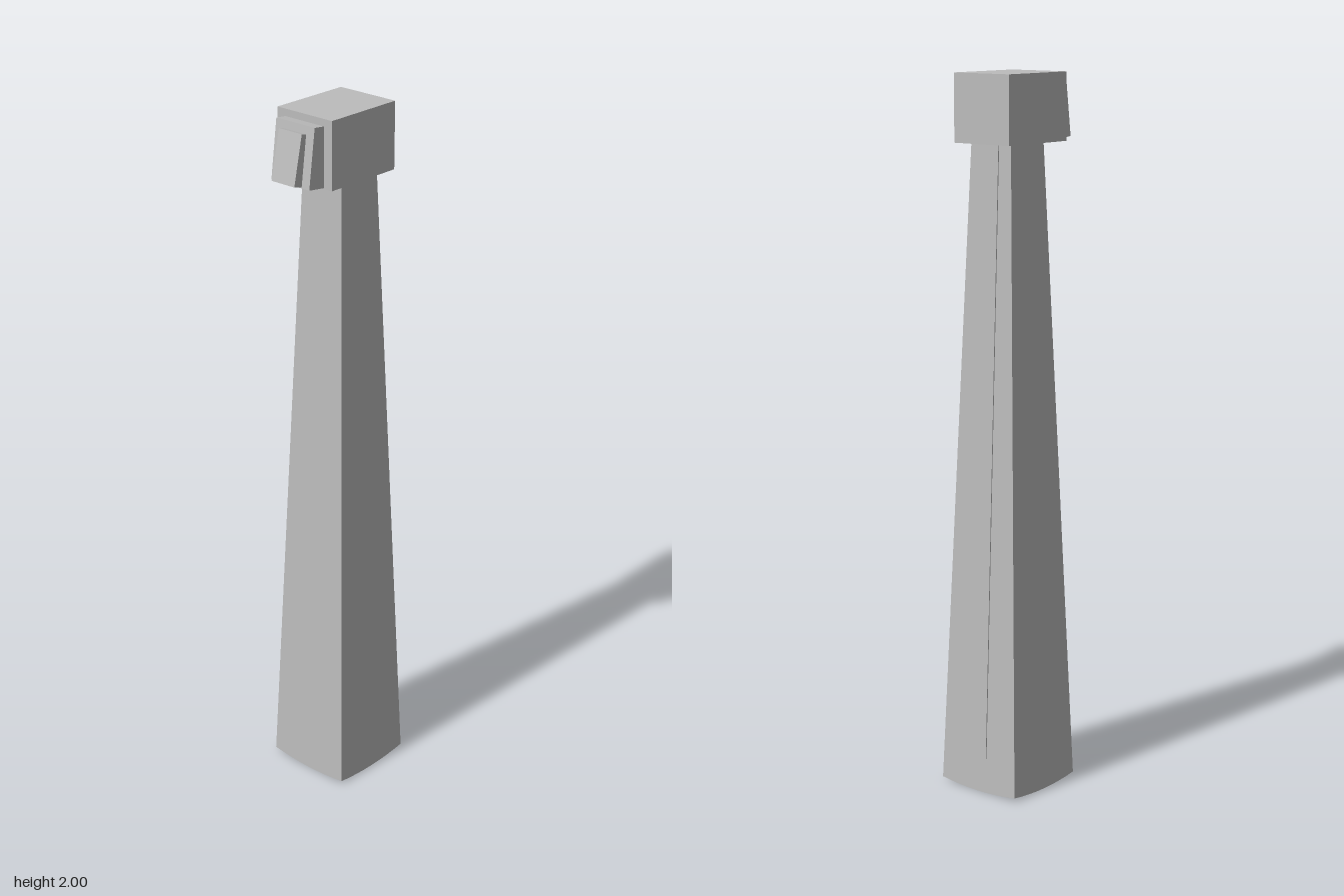
import * as THREE from 'three';

const AXIS_Z = -0.043; // the shaft stands slightly behind the centre

// half width of the tapering shaft at height y
const half = (y) => THREE.MathUtils.lerp(0.1325, 0.069, (y - 0.01) / 1.805);

// side profile of [z, y] points, given a width across x
function slab(name, points, halfWidth, material) {
  const shape = new THREE.Shape(points.map(([z, y]) => new THREE.Vector2(z, y)));
  const geometry = new THREE.ExtrudeGeometry(shape, { depth: 2 * halfWidth, bevelEnabled: false });
  geometry.rotateY(-Math.PI / 2);
  geometry.translate(halfWidth, 0, 0);
  const mesh = new THREE.Mesh(geometry, material);
  mesh.name = name;
  return mesh;
}

// one flat shaft wall, its lower edge bowed downwards
function wallGeometry() {
  const geometry = new THREE.PlaneGeometry(2, 1, 8, 1);
  const p = geometry.attributes.position;
  for (let i = 0; i < p.count; i++) {
    const t = p.getX(i);
    const y = p.getY(i) > 0 ? 1.82 : 0.01 * t * t;
    p.setXYZ(i, t * half(y), y, half(y));
  }
  geometry.computeVertexNormals();
  return geometry;
}

export function createModel() {
  const model = new THREE.Group();
  model.name = 'tower';
  const grey = new THREE.MeshStandardMaterial({ color: 0xbcbcbc, side: THREE.DoubleSide });
  grey.name = 'grey';

  // hollow square shaft, open at the bottom
  const shaft = new THREE.Group();
  shaft.name = 'shaft';
  shaft.position.z = AXIS_Z;
  const geometry = wallGeometry();
  ['frontWall', 'leftWall', 'backWall', 'rightWall'].forEach((name, i) => {
    const wall = new THREE.Mesh(geometry, grey);
    wall.name = name;
    wall.rotation.y = i * Math.PI / 2;
    shaft.add(wall);
  });
  model.add(shaft);

  // thin strip running up the back wall
  const back = (y, out) => [AXIS_Z - half(y) - out, y];
  model.add(slab('backStrip',
    [back(0.1, 0), back(1.82, 0), back(1.82, 0.003), back(0.1, 0.003)], 0.028, grey));

  // head block
  const head = new THREE.Mesh(new THREE.BoxGeometry(0.19, 0.186, 0.244), grey);
  head.name = 'head';
  head.position.set(0, 1.907, -0.03);
  model.add(head);

  // two stepped, tilted plates on the front of the head
  model.add(slab('innerPlate',
    [[0.09, 1.816], [0.147, 1.823], [0.126, 1.984], [0.09, 1.98]], 0.067, grey));
  model.add(slab('outerPlate',
    [[0.146, 1.826], [0.174, 1.832], [0.145, 1.966], [0.128, 1.962]], 0.04, grey));

  return model;
}
